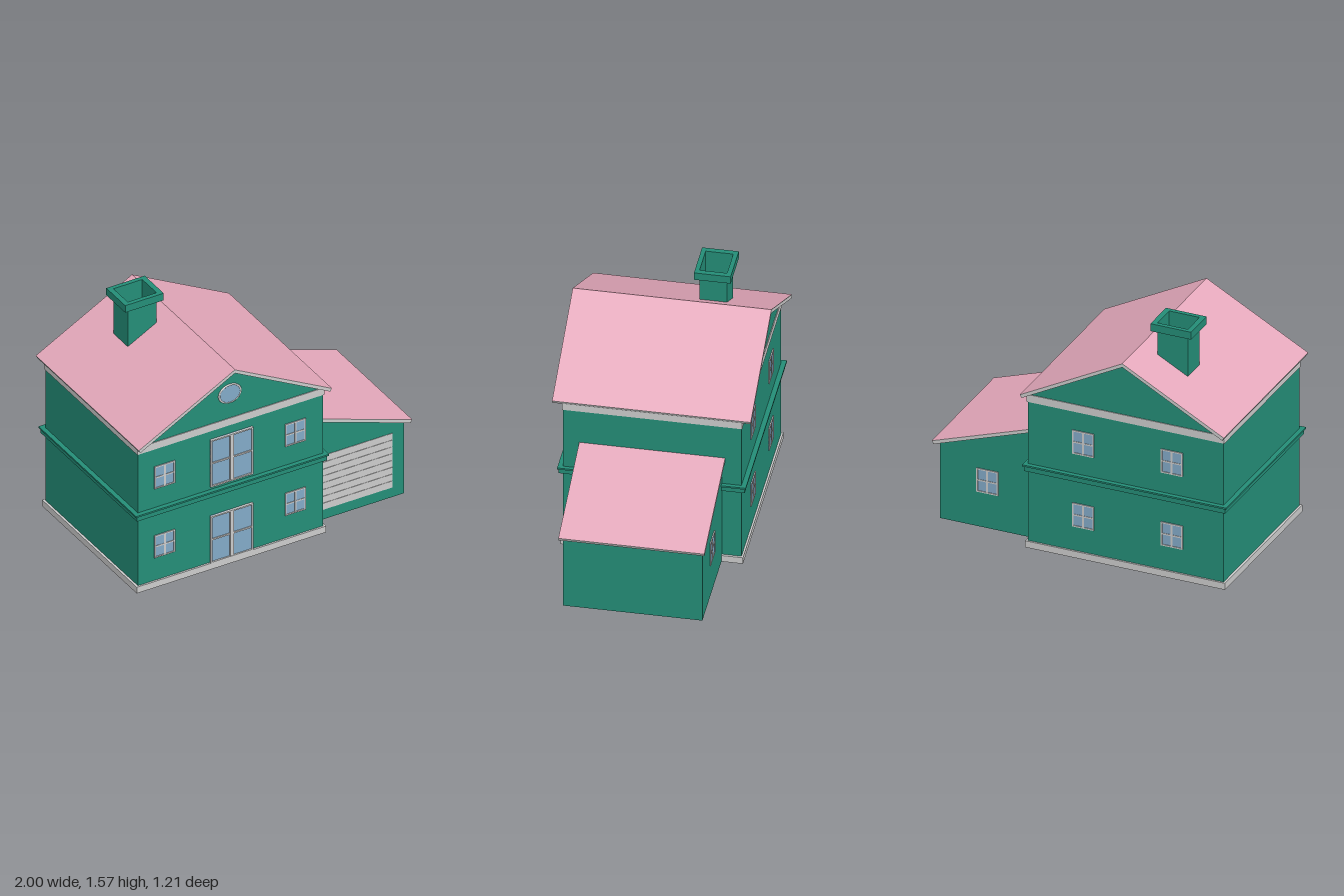
import * as THREE from 'three';

const paint = (color) => new THREE.MeshStandardMaterial({ color });
const green = paint(0x248d77), pink = paint(0xe4a8bb), grey = paint(0xcccccc), glass = paint(0x82a9c7);
const greenThin = paint(0x248d77);
greenThin.side = THREE.DoubleSide;

export function createModel() {
  const house = new THREE.Group();
  house.name = 'house';

  function add(parent, name, geometry, material) {
    const mesh = new THREE.Mesh(geometry, material);
    mesh.name = name;
    parent.add(mesh);
    return mesh;
  }

  // Box given by its limits on each axis
  function box(parent, name, material, x0, x1, y0, y1, z0, z1) {
    const mesh = add(parent, name, new THREE.BoxGeometry(x1 - x0, y1 - y0, z1 - z0), material);
    mesh.position.set((x0 + x1) / 2, (y0 + y1) / 2, (z0 + z1) / 2);
    return mesh;
  }

  // Front outline pulled through the depth, centred on z = 0
  function prism(name, material, points, halfDepth) {
    const shape = new THREE.Shape(points.map(([x, y]) => new THREE.Vector2(x, y)));
    const geometry = new THREE.ExtrudeGeometry(shape, { depth: 2 * halfDepth, bevelEnabled: false });
    geometry.translate(0, 0, -halfDepth);
    return add(house, name, geometry, material);
  }

  // Coloured sheet lying on a roof slope from (x0, y0) to (x1, y1)
  function roofSheet(name, x0, y0, x1, y1, halfDepth) {
    const geometry = new THREE.PlaneGeometry(Math.hypot(x1 - x0, y1 - y0), 2 * halfDepth);
    geometry.rotateX(-Math.PI / 2).rotateZ(Math.atan2(y1 - y0, x1 - x0));
    add(house, name, geometry, pink).position.set((x0 + x1) / 2, (y0 + y1) / 2 + 0.0015, 0);
  }

  // Glazed opening with frame and cross bars, built facing +z
  function glazing(name, x, y, z, w, h, depth, rim, post, back = false) {
    const group = new THREE.Group();
    group.name = name;
    const a = w / 2, b = h / 2;
    box(group, 'glass', glass, -a, a, -b, b, -0.01, depth * 0.4);
    for (const s of [-1, 1]) {
      const u = s * (a - rim / 2), v = s * (b - rim / 2);
      box(group, 'sideFrame', grey, u - rim / 2, u + rim / 2, -b, b, -0.01, depth);
      box(group, 'endFrame', grey, -a + rim, a - rim, v - rim / 2, v + rim / 2, -0.01, depth);
    }
    box(group, 'post', grey, -post / 2, post / 2, -b + rim, b - rim, -0.01, depth * 0.9);
    box(group, 'crossBar', grey, -a + rim, a - rim, -0.005, 0.005, -0.01, depth * 0.8);
    group.position.set(x, y, z);
    if (back) group.rotation.y = Math.PI;
    house.add(group);
  }

  // Main walls with gables
  const ridgeX = -0.33, wallZ = 0.545;
  prism('mainWalls', green, [[-0.97, 0], [0.32, 0], [0.32, 1.045], [ridgeX, 1.39], [-0.97, 1.045]], wallZ);

  // Plinth, floor band and cornice
  box(house, 'plinth', grey, -0.985, 0.335, 0.001, 0.045, -0.557, 0.557);
  box(house, 'floorBand', green, -0.99, 0.335, 0.522, 0.557, -0.567, 0.567);
  box(house, 'floorBandLip', green, -1, 0.345, 0.555, 0.566, -0.575, 0.575);
  box(house, 'cornice', grey, -0.977, 0.327, 0.985, 1.035, -0.55, 0.55);

  // Main roof
  prism('mainRoof', grey, [[-1, 1.055], [-0.99, 1.035], [ridgeX, 1.388], [0.335, 1.035],
    [0.345, 1.055], [ridgeX, 1.412]], 0.606);
  roofSheet('leftSlope', -1, 1.055, ridgeX, 1.412, 0.606);
  roofSheet('rightSlope', ridgeX, 1.412, 0.345, 1.055, 0.606);

  // Garage and its lean-to roof
  prism('garageWalls', green, [[0.32, 0], [0.955, 0], [0.955, 0.515], [0.32, 0.735]], 0.425);
  prism('garageRoof', grey, [[0.32, 0.73], [0.99, 0.502], [1, 0.523], [0.32, 0.753]], 0.445);
  roofSheet('garageSlope', 0.32, 0.753, 1, 0.523, 0.445);

  // Slatted garage door
  const slats = 8, pitch = 0.39 / slats;
  for (let i = 0; i < slats; i++) {
    const y = 0.07 + i * pitch;
    box(house, 'garageDoorSlat', grey, 0.357, 0.872, y, y + pitch - 0.002, 0.42, 0.428);
  }

  // Windows and double doors on both floors
  for (const y of [0.287, 0.78]) {
    for (const x of [-0.785, 0.125]) glazing('frontWindow', x, y, wallZ, 0.143, 0.16, 0.007, 0.009, 0.012);
    for (const x of [-0.63, -0.045]) glazing('backWindow', x, y, -wallZ, 0.143, 0.16, 0.007, 0.009, 0.012, true);
  }
  glazing('garageWindow', 0.642, 0.315, -0.425, 0.143, 0.16, 0.007, 0.009, 0.012, true);
  for (const y of [0.212, 0.757]) glazing('doubleDoor', -0.322, y, wallZ, 0.295, 0.335, 0.017, 0.009, 0.026);

  // Oval attic window
  const oval = new THREE.Group();
  oval.name = 'atticWindow';
  const pane = add(oval, 'pane', new THREE.CylinderGeometry(0.074, 0.074, 0.01, 40), glass);
  pane.rotation.x = Math.PI / 2;
  add(oval, 'rim', new THREE.TorusGeometry(0.074, 0.007, 8, 40), grey);
  oval.scale.y = 0.84;
  oval.position.set(ridgeX, 1.21, wallZ);
  house.add(oval);

  // Hollow chimney: four thin walls and a ring cap
  const cx = -0.53, cz = -0.233, hx = 0.1, hz = 0.084;
  const rectangle = (Path, a, b) => new Path([[-a, -b], [a, -b], [a, b], [-a, b]].map(([x, y]) => new THREE.Vector2(x, y)));
  for (const s of [-1, 1]) {
    const side = add(house, 'chimneySide', new THREE.PlaneGeometry(2 * hz, 0.33), greenThin);
    side.rotation.y = s * Math.PI / 2;
    side.position.set(cx + s * hx, 1.365, cz);
    const face = add(house, 'chimneyFace', new THREE.PlaneGeometry(2 * hx, 0.33), greenThin);
    face.rotation.y = s < 0 ? Math.PI : 0;
    face.position.set(cx, 1.365, cz + s * hz);
  }
  const ring = rectangle(THREE.Shape, 0.134, 0.112);
  ring.holes.push(rectangle(THREE.Path, hx, hz));
  const cap = add(house, 'chimneyCap', new THREE.ExtrudeGeometry(ring, { depth: 0.05, bevelEnabled: false }), green);
  cap.rotation.x = -Math.PI / 2;
  cap.position.set(cx, 1.524, cz);

  return house;
}
